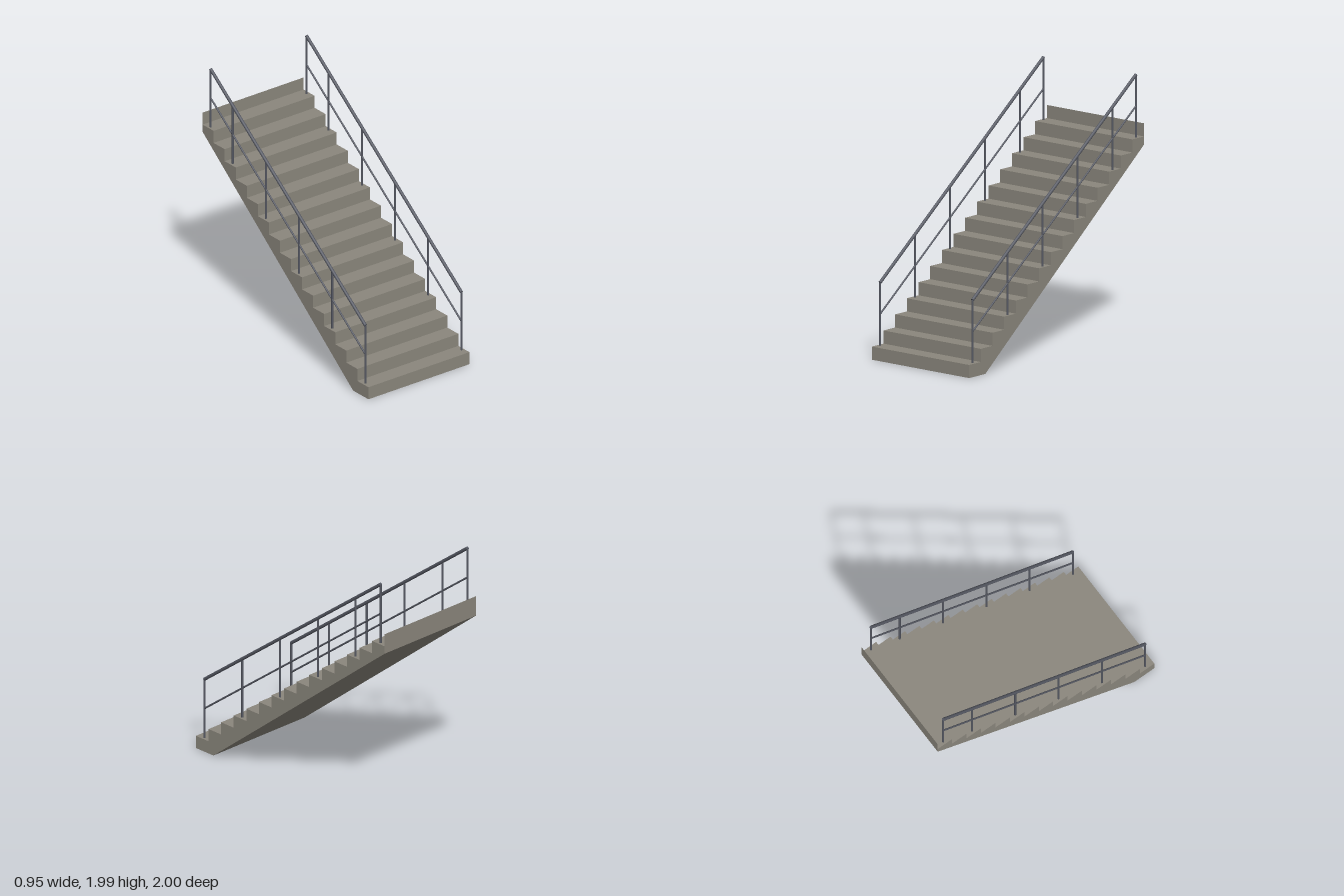
import * as THREE from 'three';

const STEPS = 15, RISE = 0.1, RUN = 2 / STEPS, HALF_WIDTH = 0.477;

export function createModel() {
  const concrete = new THREE.MeshStandardMaterial({ color: 0x8b877d });
  concrete.name = 'concrete';
  const concreteSheet = concrete.clone();
  concreteSheet.side = THREE.DoubleSide;
  const steel = new THREE.MeshStandardMaterial({ color: 0x555862 });
  steel.name = 'steel';

  const model = new THREE.Group();
  model.name = 'staircase';
  const add = (parent, name, geometry, material) => {
    const mesh = new THREE.Mesh(geometry, material);
    mesh.name = name;
    parent.add(mesh);
    return mesh;
  };

  // Stepped flight: side profile (distance from front, height) extruded across the width
  const profile = new THREE.Shape();
  profile.moveTo(-1, 0);
  for (let i = 0; i < STEPS; i++) {
    profile.lineTo(-1 + i * RUN, (i + 1) * RISE);
    profile.lineTo(-1 + (i + 1) * RUN, (i + 1) * RISE);
  }
  profile.lineTo(1, 1.44);
  profile.lineTo(-0.815, 0);
  const flight = new THREE.ExtrudeGeometry(profile, { depth: HALF_WIDTH * 2, bevelEnabled: false });
  flight.translate(0, 0, -HALF_WIDTH).rotateY(Math.PI / 2);
  add(model, 'flight', flight, concrete);

  // Thin final riser standing behind the top tread
  const riser = add(model, 'topRiser', new THREE.PlaneGeometry(HALF_WIDTH * 2, RISE), concreteSheet);
  riser.position.set(0, STEPS * RISE + RISE / 2, -1);

  // Round bar between two points
  const bar = (parent, name, a, b, radius) => {
    const dir = b.clone().sub(a);
    const mesh = add(parent, name, new THREE.CylinderGeometry(radius, radius, dir.length(), 12), steel);
    mesh.position.copy(a).lerp(b, 0.5);
    mesh.quaternion.setFromUnitVectors(new THREE.Vector3(0, 1, 0), dir.normalize());
  };

  // Railings: posts on tread centres, handrail and mid rail along the slope
  for (const [side, x] of [['left', 0.453], ['right', -0.453]]) {
    const railing = new THREE.Group();
    railing.name = side + 'Railing';
    model.add(railing);
    const onStep = (i, height) =>
      new THREE.Vector3(x, (i + 1) * RISE + height, 1 - (i + 0.5) * RUN);
    for (const i of [0, 3, 6, 9, 12, 14]) bar(railing, 'post', onStep(i, 0), onStep(i, 0.48), 0.008);
    bar(railing, 'handrail', onStep(0, 0.48), onStep(STEPS - 1, 0.48), 0.0125);
    bar(railing, 'midRail', onStep(0, 0.24), onStep(STEPS - 1, 0.24), 0.007);
  }
  return model;
}
